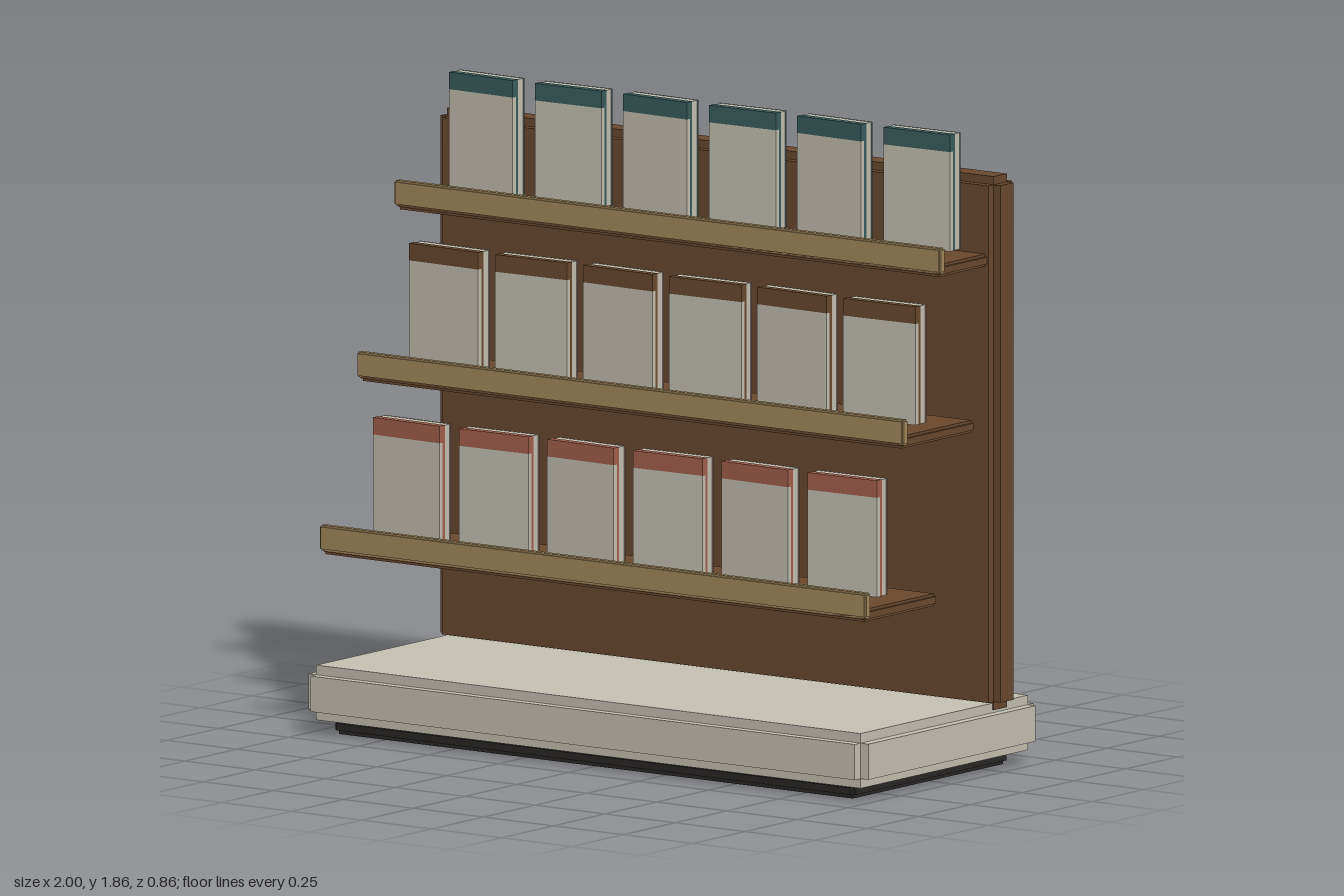
import * as THREE from 'three';
import { mergeGeometries } from 'three/addons/utils/BufferGeometryUtils.js';

function material(name, color) {
  const m = new THREE.MeshStandardMaterial({ color });
  m.name = name;
  return m;
}

// Box given by its lower and upper corners
function box(x0, x1, y0, y1, z0, z1) {
  return new THREE.BoxGeometry(x1 - x0, y1 - y0, z1 - z0)
    .translate((x0 + x1) / 2, (y0 + y1) / 2, (z0 + z1) / 2);
}

// Box whose edges are stepped inward by n: three crossed boxes
function steppedBox(x0, x1, y0, y1, z0, z1, n) {
  return mergeGeometries([
    box(x0, x1, y0 + n, y1 - n, z0 + n, z1 - n),
    box(x0 + n, x1 - n, y0, y1, z0 + n, z1 - n),
    box(x0 + n, x1 - n, y0 + n, y1 - n, z0, z1),
  ]);
}

export function createModel() {
  const root = new THREE.Group();
  root.name = 'bookDisplay';

  const wood = material('brown wood', 0x6b4a2f);
  const trim = material('tan wood', 0xa68c5f);
  const cream = material('cream', 0xc8c3b4);
  const dark = material('charcoal', 0x2a2727);
  const teal = material('teal', 0x3a5f5e);
  const rust = material('terracotta', 0xa5614e);
  const paleTeal = material('pale teal', 0x6a8a86);
  const palePink = material('dusty pink', 0xb29080);

  const add = (parent, name, geometry, mat) => {
    const mesh = new THREE.Mesh(geometry, mat);
    mesh.name = name;
    parent.add(mesh);
    return mesh;
  };

  // Recessed plinth, base slab and back panel
  add(root, 'plinth', steppedBox(-0.93, 0.93, 0, 0.045, -0.37, 0.38, 0.012), dark);
  add(root, 'base', steppedBox(-1, 1, 0.04, 0.2, -0.432, 0.432, 0.028), cream);
  add(root, 'backPanel', steppedBox(-1, 1, 0.18, 1.735, -0.322, -0.21, 0.024), wood);

  // One standing book, centred on x and z with its foot at y = 0
  function makeBook(w, h, cover, backing) {
    const book = new THREE.Group();
    book.name = 'book';
    const x = w / 2;
    add(book, 'frontBoard', box(-x, x, 0, h - 0.05, 0.012, 0.027), cream);
    add(book, 'titleBand', box(-x, x, h - 0.05, h, 0.012, 0.027), cover);
    add(book, 'coverBoard', box(-x, x, 0, h, 0.002, 0.012), cover);
    add(book, 'pages', box(-x + 0.002, x - 0.002, 0, h - 0.001, -0.023, 0.002), cream);
    add(book, 'backBoard', box(-x, x, 0, h, -0.027, -0.023), backing);
    return book;
  }

  // Staggered shelves, each with a front lip and six books
  const rows = [
    { y: 0.52, z: 0.38, foot: 0.565, top: 0.905, w: 0.243, cover: rust, backing: palePink },
    { y: 1.0, z: 0.2, foot: 1.042, top: 1.387, w: 0.253, cover: wood, backing: palePink },
    { y: 1.475, z: 0.02, foot: 1.522, top: 1.862, w: 0.233, cover: teal, backing: paleTeal },
  ];
  rows.forEach((r) => {
    const shelf = new THREE.Group();
    shelf.name = 'shelf';
    root.add(shelf);
    add(shelf, 'shelfBoard', steppedBox(-0.97, 0.97, r.y, r.y + 0.036, r.z - 0.352, r.z, 0.008), wood);
    add(shelf, 'shelfLip', steppedBox(-0.976, 0.976, r.y + 0.011, r.y + 0.085, r.z - 0.022, r.z + 0.005, 0.005), trim);
    for (let i = 0; i < 6; i++) {
      const book = makeBook(r.w, r.top - r.foot, r.cover, r.backing);
      book.position.set((i - 2.5) * 0.311, r.foot, r.z - 0.176);
      book.rotation.y = i % 2 ? 0.03 : -0.03;
      shelf.add(book);
    }
  });

  return root;
}
